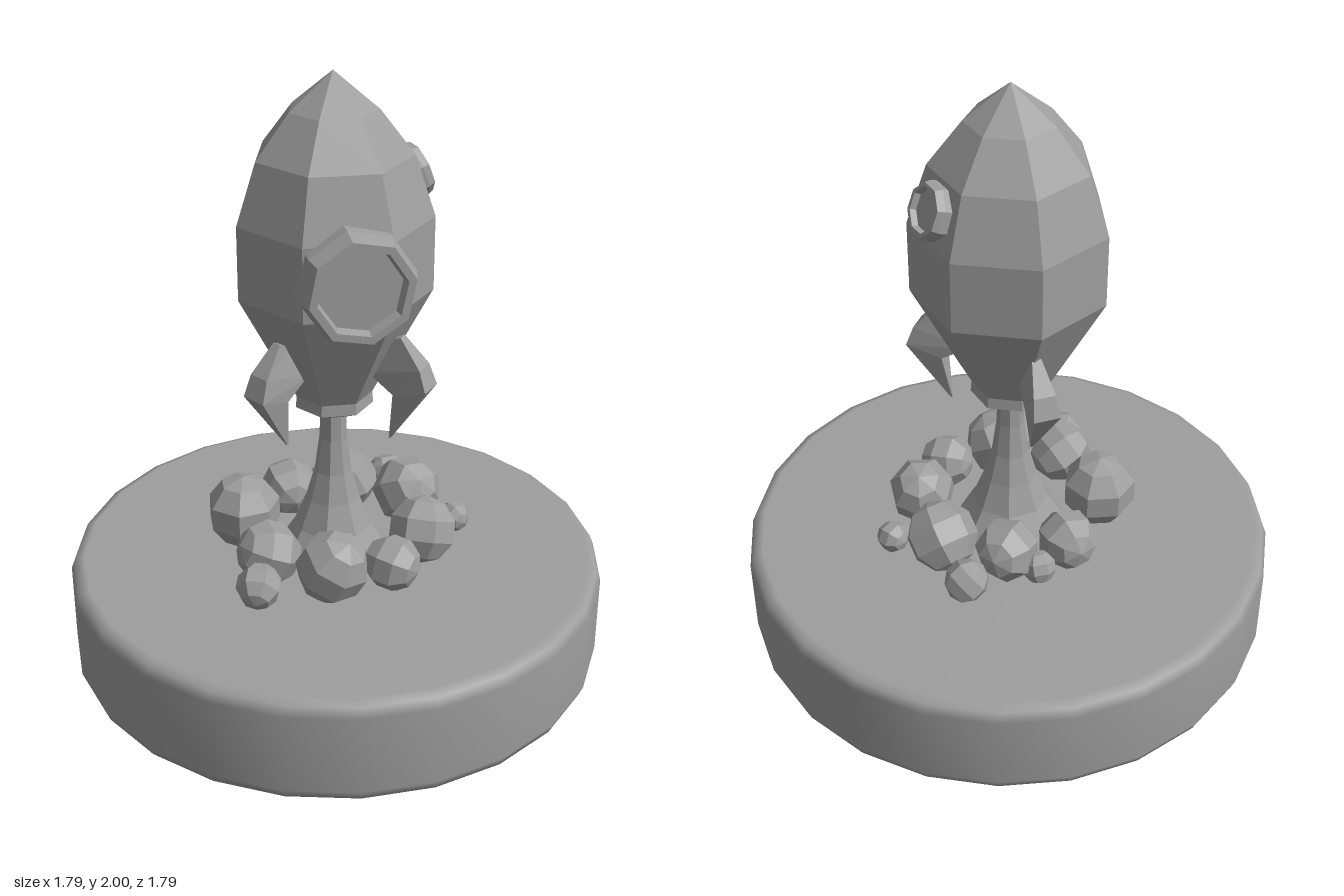
import * as THREE from 'three';

const GREY = 0x9e9e9e;
const smooth = new THREE.MeshStandardMaterial({ color: GREY });
const flat = new THREE.MeshStandardMaterial({ color: GREY, flatShading: true });
const CX = -0.01; // rocket axis

function add(parent, name, geometry, material = flat) {
  const mesh = new THREE.Mesh(geometry, material);
  mesh.name = name;
  parent.add(mesh);
  return mesh;
}

// Lathe from [radius, y] pairs, listed from bottom to top
function lathe(points, sides, start = 0) {
  return new THREE.LatheGeometry(points.map(p => new THREE.Vector2(...p)), sides, start);
}

// Eight-sided ring with a recessed pane, facing +z
function portholeGeometry(radius, back, front, recess) {
  return lathe([
    [radius, -back], [radius, front * 0.35], [radius * 0.91, front],
    [radius * 0.77, front], [radius * 0.72, recess], [0, recess],
  ], 8, Math.PI / 8).rotateX(Math.PI / 2);
}

// Fin pointing along +x, lofted through four-cornered sections down to its tip
function finGeometry() {
  // inner radius, inner y, outer radius, outer y, half width
  const sections = [
    [0.20, 1.17, 0.245, 1.19, 0.015],
    [0.14, 1.05, 0.322, 1.10, 0.036],
    [0.228, 0.995, 0.347, 1.03, 0.044],
    [0.204, 0.825, 0.21, 0.825, 0.004],
  ];
  const pos = [], index = [];
  for (const [ri, yi, ro, yo, w] of sections) {
    pos.push(ri, yi, w * 0.7, ro, yo, w, ro, yo, -w, ri, yi, -w * 0.7);
  }
  for (let s = 0; s < sections.length - 1; s++) {
    for (let i = 0; i < 4; i++) {
      const a = s * 4 + i, b = s * 4 + (i + 1) % 4;
      index.push(a, a + 4, b, b, a + 4, b + 4);
    }
  }
  const e = (sections.length - 1) * 4;
  index.push(0, 1, 2, 0, 2, 3, e, e + 2, e + 1, e, e + 3, e + 2);
  const g = new THREE.BufferGeometry();
  g.setAttribute('position', new THREE.Float32BufferAttribute(pos, 3));
  g.setIndex(index);
  g.computeVertexNormals();
  return g;
}

export function createModel() {
  const model = new THREE.Group();
  model.name = 'rocketOnStand';

  // Round stand with softened rims
  add(model, 'stand', lathe([
    [0, 0], [0.85, 0], [0.882, 0.013], [0.895, 0.045],
    [0.895, 0.315], [0.882, 0.347], [0.85, 0.36], [0, 0.36],
  ], 24), smooth);

  const rocket = new THREE.Group();
  rocket.name = 'rocket';
  rocket.position.x = CX;
  model.add(rocket);

  // Seven-sided hull and engine collar
  add(rocket, 'hull', lathe([
    [0, 0.945], [0.125, 0.945], [0.315, 1.31], [0.315, 1.55], [0.25, 1.745], [0.142, 1.883], [0, 2],
  ], 7));
  add(rocket, 'engineCollar', lathe([
    [0, 0.875], [0.06, 0.875], [0.13, 0.91], [0.125, 0.97], [0.1, 0.99],
  ], 7));

  // Large front window
  const windowAngle = THREE.MathUtils.degToRad(-21);
  const frontWindow = add(rocket, 'frontWindow', portholeGeometry(0.182, 0.1, 0.085, 0.055));
  frontWindow.position.set(Math.sin(windowAngle) * 0.284, 1.43, Math.cos(windowAngle) * 0.284);
  frontWindow.rotation.set(0, windowAngle, -0.2);

  // Small side window, tilted up with the hull
  const sideAngle = Math.PI * 3 / 7;
  const sideWindow = add(rocket, 'sideWindow', portholeGeometry(0.09, 0.05, 0.035, 0.015));
  sideWindow.position.set(Math.sin(sideAngle) * 0.267, 1.655, Math.cos(sideAngle) * 0.25);
  sideWindow.rotation.set(-0.36, sideAngle, 0, 'YXZ');

  // Three landing fins
  for (const degrees of [170, 63, -66]) {
    add(rocket, 'fin', finGeometry()).rotation.y = -THREE.MathUtils.degToRad(degrees);
  }

  // Flared exhaust column
  add(rocket, 'exhaustColumn', lathe([
    [0.2, 0.35], [0.13, 0.46], [0.09, 0.56], [0.062, 0.66], [0.046, 0.78], [0.042, 0.9],
  ], 8));

  // Smoke puffs: x, y, z, radius
  const puffs = [
    [-0.24, 0.48, -0.20, 0.125], [0, 0.45, -0.29, 0.1], [0.14, 0.42, -0.3, 0.055],
    [0.19, 0.46, -0.2, 0.105], [0.365, 0.43, -0.195, 0.072], [0.31, 0.47, -0.01, 0.118],
    [0.39, 0.41, 0.15, 0.053], [0.2, 0.46, 0.22, 0.112], [0.01, 0.44, 0.305, 0.092],
    [-0.18, 0.46, 0.24, 0.118], [-0.3, 0.46, 0.05, 0.105], [-0.41, 0.43, 0.16, 0.073],
  ];
  const smoke = new THREE.Group();
  smoke.name = 'smoke';
  model.add(smoke);
  puffs.forEach(([x, y, z, r], i) => {
    const puff = add(smoke, 'smokePuff', new THREE.SphereGeometry(r * 1.03, 7, 5));
    puff.position.set(x, y, z);
    puff.rotation.set(i * 1.3, i * 0.9, i * 0.5);
  });

  return model;
}
